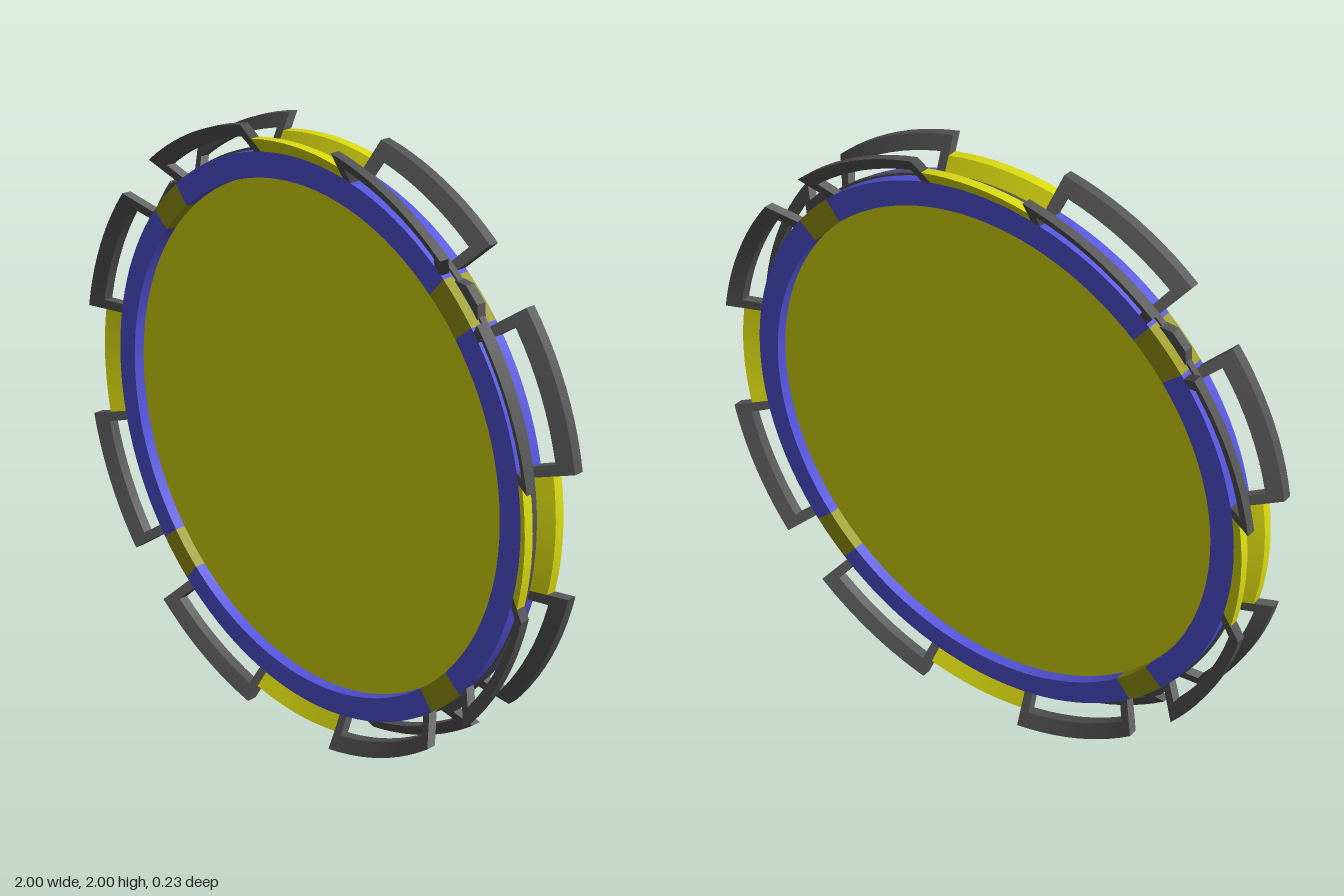
import * as THREE from 'three';
import { toCreasedNormals } from 'three/addons/utils/BufferGeometryUtils.js';

const mat = (color) => new THREE.MeshStandardMaterial({ color });
const YELLOW = mat(0xdddd11), OLIVE = mat(0x999911), BLUE = mat(0x5555dd), DARK = mat(0x555555);

// Sweeps a convex [radius, z] profile around the z axis between two angles (degrees), with end caps
function sector(profile, from, to) {
  let area = 0;
  profile.forEach(([r, z], i) => {
    const [r2, z2] = profile[(i + 1) % profile.length];
    area += r * z2 - r2 * z;
  });
  const pts = area > 0 ? profile : [...profile].reverse();
  const n = pts.length, steps = Math.max(1, Math.ceil((to - from) / 3));
  const pos = [];
  const at = (i, s) => {
    const a = THREE.MathUtils.degToRad(from + (to - from) * s / steps);
    const [r, z] = pts[i % n];
    return [r * Math.cos(a), r * Math.sin(a), z];
  };
  const tri = (a, b, c) => pos.push(...a, ...b, ...c);
  for (let s = 0; s < steps; s++) {
    for (let i = 0; i < n; i++) {
      tri(at(i, s), at(i, s + 1), at(i + 1, s + 1));
      tri(at(i, s), at(i + 1, s + 1), at(i + 1, s));
    }
  }
  if (to - from < 360) {
    for (let i = 1; i < n - 1; i++) {
      tri(at(0, 0), at(i, 0), at(i + 1, 0));
      tri(at(0, steps), at(i + 1, steps), at(i, steps));
    }
  }
  const geo = new THREE.BufferGeometry();
  geo.setAttribute('position', new THREE.Float32BufferAttribute(pos, 3));
  return toCreasedNormals(geo, 0.4);
}

// Cross-section of the outward-flaring rim between two radii; side is +1 front, -1 back
function flare(r0, r1, side) {
  const front = (r) => 0.05 + (r - 0.925) * 0.7;
  const back = (r) => front(r) - 0.033;
  return [[r0, back(r0)], [r1, back(r1)], [r1, front(r1)], [r0, front(r0)]]
    .map(([r, z]) => [r, z * side]);
}

const box = (r0, r1, z) => [[r0, -z], [r1, -z], [r1, z], [r0, z]];

export function createModel() {
  const model = new THREE.Group();
  model.name = 'roundGate';
  const wheel = new THREE.Group();
  wheel.name = 'wheel';
  wheel.position.y = 1;
  model.add(wheel);

  const add = (name, geo, material, parent = wheel) => {
    const mesh = new THREE.Mesh(geo, material);
    mesh.name = name;
    parent.add(mesh);
    return mesh;
  };

  // Recessed central panel
  const panel = new THREE.CylinderGeometry(0.86, 0.86, 0.024, 120);
  panel.rotateX(Math.PI / 2);
  add('panel', panel, YELLOW);

  // Thin dark band around the outside of the ring
  add('centreBand', sector(box(0.915, 0.932, 0.011), 0, 360), DARK);

  // Chamfered clip, placed on each diagonal
  const clipShape = new THREE.Shape([
    [0.9, -0.064], [0.927, -0.064], [0.953, -0.032],
    [0.953, 0.032], [0.927, 0.064], [0.9, 0.064],
  ].map(([x, y]) => new THREE.Vector2(x, y)));
  const clipGeo = new THREE.ExtrudeGeometry(clipShape, { depth: 0.032, bevelEnabled: false });
  clipGeo.translate(0, 0, -0.016);

  for (let q = 0; q < 4; q++) {
    const a = q * 90;
    // Ring segments
    add('ringSegment', sector(box(0.845, 0.925, 0.05), a - 40, a + 40), BLUE);
    add('ringJoint', sector(box(0.845, 0.925, 0.05), a + 40, a + 50), OLIVE);
    add('clip', clipGeo, DARK).rotation.z = THREE.MathUtils.degToRad(a + 45);

    for (const side of [1, -1]) {
      // Flared tab between two frames
      add('rimTab', sector(flare(0.91, 0.97, side), a - 11.3, a + 11.3), YELLOW);

      // Open flared frames: an outer bar on two legs
      for (const start of [a + 11.3, a + 50.8]) {
        const end = start + 27.9, leg = 2;
        const frame = new THREE.Group();
        frame.name = 'rimFrame';
        wheel.add(frame);
        add('frameBar', sector(flare(0.978, 1.02, side), start, end), DARK, frame);
        add('frameLeg', sector(flare(0.91, 0.978, side), start, start + leg), DARK, frame);
        add('frameLeg', sector(flare(0.91, 0.978, side), end - leg, end), DARK, frame);
      }
    }
  }
  return model;
}
